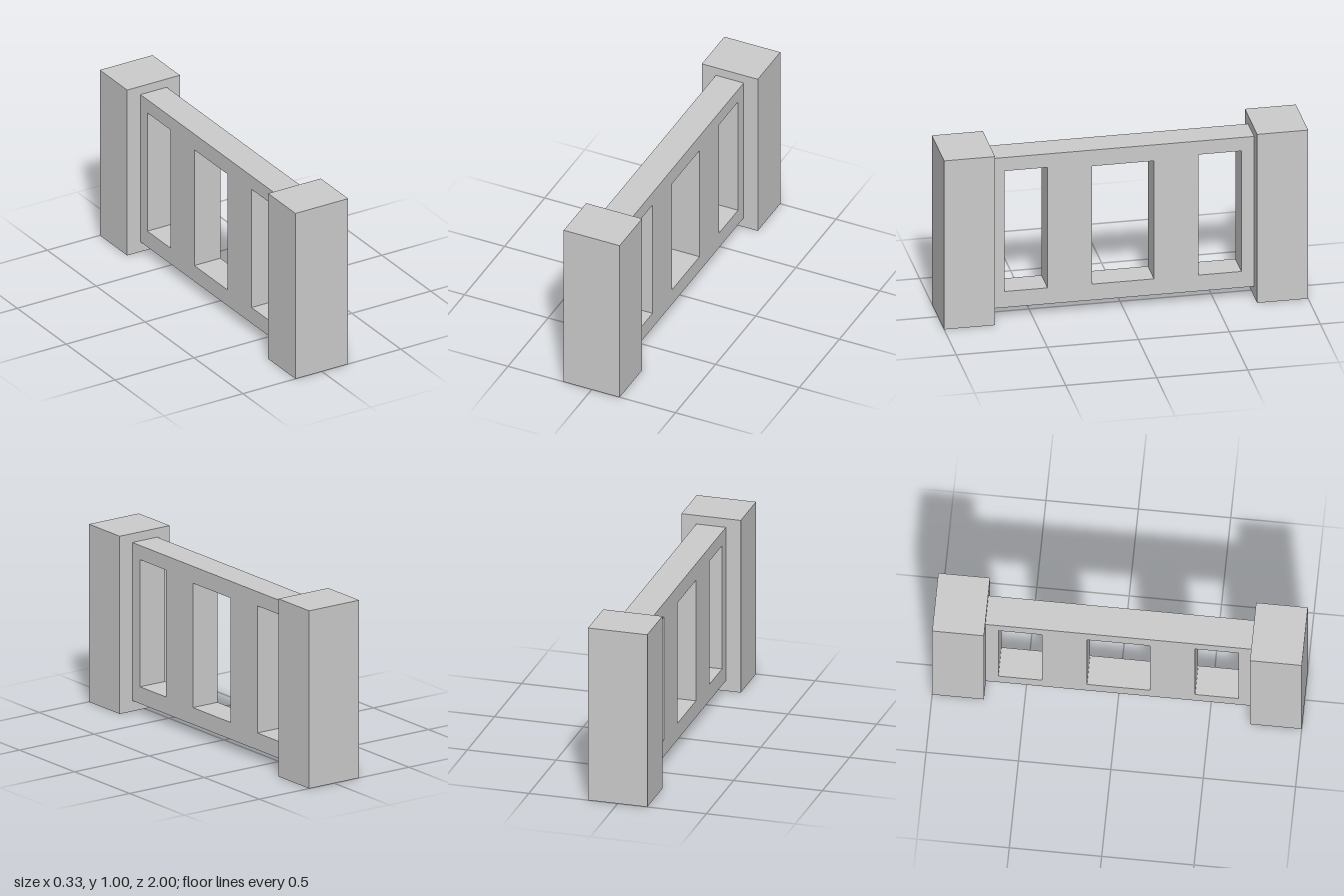
import * as THREE from 'three';

const POST = { width: 0.334, height: 1, depth: 0.28 };
const PANEL = { thickness: 0.166, halfLength: 0.72, bottom: 0.06, top: 0.95 };

// Trace a rectangle into a Shape or Path
function rect(path, x0, y0, x1, y1) {
  path.moveTo(x0, y0);
  path.lineTo(x1, y0);
  path.lineTo(x1, y1);
  path.lineTo(x0, y1);
  path.closePath();
  return path;
}

export function createModel() {
  const group = new THREE.Group();
  group.name = 'fenceSection';
  const material = new THREE.MeshStandardMaterial({ color: 0xcccccc, flatShading: true });

  // End posts
  for (const side of [1, -1]) {
    const post = new THREE.Mesh(new THREE.BoxGeometry(POST.width, POST.height, POST.depth), material);
    post.name = side > 0 ? 'frontPost' : 'backPost';
    post.position.set(0, POST.height / 2, side * (1 - POST.depth / 2));
    group.add(post);
  }

  // Panel with three openings, drawn in profile and turned to run along z
  const outline = rect(new THREE.Shape(), -PANEL.halfLength, PANEL.bottom, PANEL.halfLength, PANEL.top);
  const openings = [
    [-0.65, -0.415, 0.87],
    [-0.17, 0.17, 0.855],
    [0.415, 0.65, 0.87],
  ];
  for (const [start, end, top] of openings) {
    outline.holes.push(rect(new THREE.Path(), start, 0.155, end, top));
  }
  const geometry = new THREE.ExtrudeGeometry(outline, { depth: PANEL.thickness, bevelEnabled: false });
  geometry.translate(0, 0, -PANEL.thickness / 2);
  geometry.rotateY(-Math.PI / 2);
  const panel = new THREE.Mesh(geometry, material);
  panel.name = 'slottedPanel';
  group.add(panel);

  return group;
}
